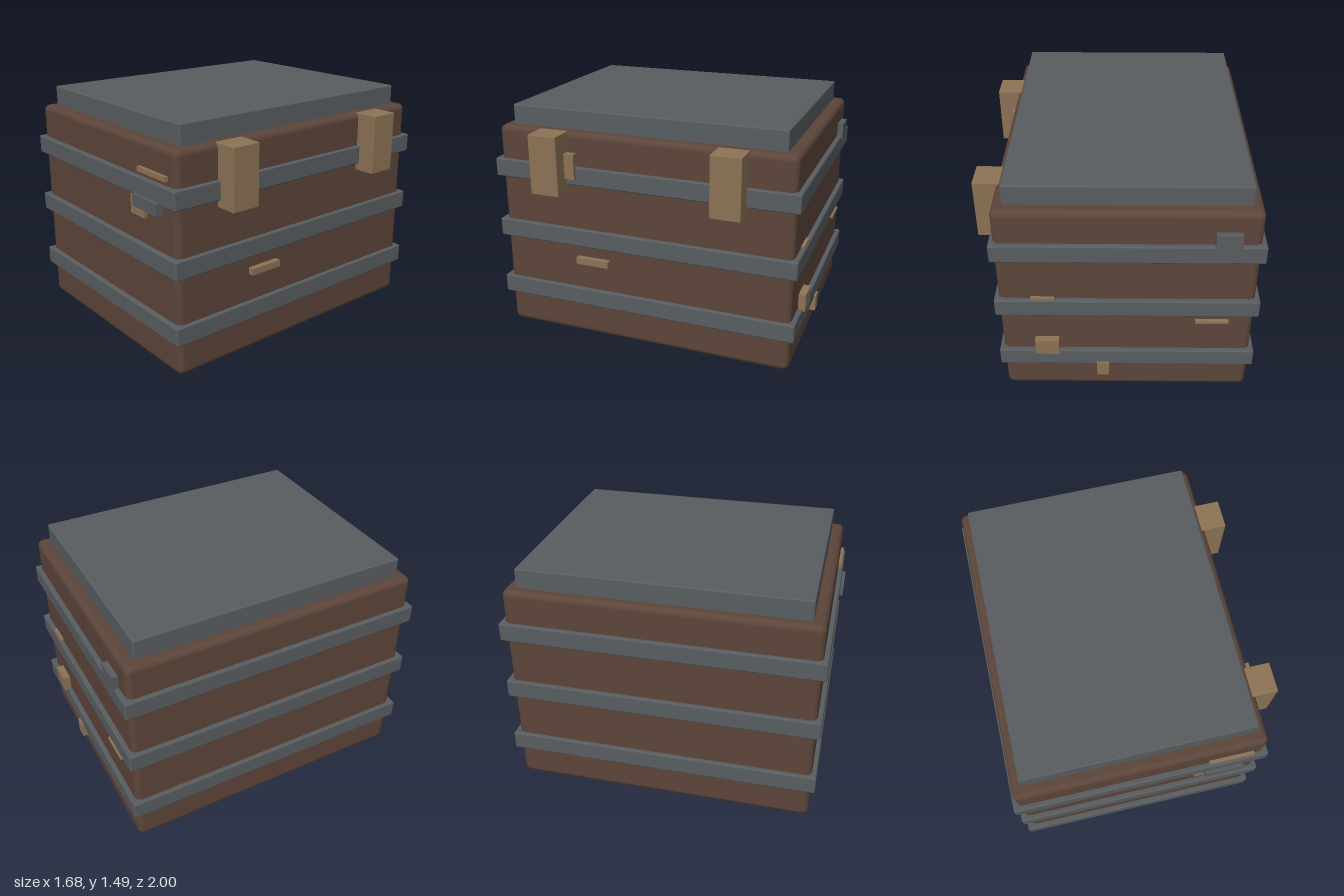
import * as THREE from 'three';
import { RoundedBoxGeometry } from 'three/addons/geometries/RoundedBoxGeometry.js';

export function createModel() {
  const group = new THREE.Group();
  group.name = 'crate';

  const material = (name, color) => {
    const m = new THREE.MeshStandardMaterial({ color });
    m.name = name;
    return m;
  };
  const brown = material('darkLeather', 0x5c453a);
  const grey = material('greyMetal', 0x585d60);
  const tan = material('tanBrass', 0x8c7355);

  // Box given by its extents; a radius rounds its edges
  const box = (name, mat, [x0, x1], [y0, y1], [z0, z1], radius = 0) => {
    const size = [x1 - x0, y1 - y0, z1 - z0];
    const geometry = radius
      ? new RoundedBoxGeometry(...size, 2, radius)
      : new THREE.BoxGeometry(...size);
    const mesh = new THREE.Mesh(geometry, mat);
    mesh.name = name;
    mesh.position.set((x0 + x1) / 2, (y0 + y1) / 2, (z0 + z1) / 2);
    group.add(mesh);
  };

  // Main case and raised lid
  box('body', brown, [-0.82, 0.704], [0, 1.366], [-0.955, 0.947], 0.04);
  box('lid', grey, [-0.76, 0.641], [1.3, 1.49], [-0.88, 0.872], 0.01);

  // Three bands wrapped around the case
  for (const y of [0.276, 0.685, 1.094]) {
    box('band', grey, [-0.845, 0.727], [y - 0.059, y + 0.059], [-0.985, 0.977], 0.01);
  }

  // Pair of heavy clasps on the left side
  for (const z of [-0.578, 0.568]) {
    box('clasp', tan, [0.68, 0.84], [0.988, 1.366], [z - 0.093, z + 0.093], 0.005);
  }

  // Small fittings on the front
  box('frontStrip', tan, [0.355, 0.63], [1.18, 1.21], [0.92, 0.968]);
  box('frontPlate', tan, [0.28, 0.415], [0.912, 1.05], [0.92, 0.97]);
  box('frontLatch', grey, [0.34, 0.58], [0.977, 1.05], [0.92, 0.997]);

  // Small fittings on the left side
  box('sideStrip', tan, [0.67, 0.742], [0.513, 0.555], [0.21, 0.428]);
  box('sidePlate', tan, [0.67, 0.75], [1.08, 1.238], [0.41, 0.55]);

  // Small fittings on the back
  box('backLatch', grey, [-0.70, -0.55], [1.13, 1.238], [-0.993, -0.93]);
  box('backUpperStrip', tan, [0.37, 0.51], [0.72, 0.757], [-0.976, -0.93]);
  box('backMiddleStrip', tan, [-0.67, -0.47], [0.565, 0.583], [-0.98, -0.93]);
  box('backPlate', tan, [0.355, 0.50], [0.32, 0.43], [-1, -0.93]);
  box('backPeg', tan, [0.05, 0.125], [0.135, 0.24], [-0.998, -0.93]);

  return group;
}
